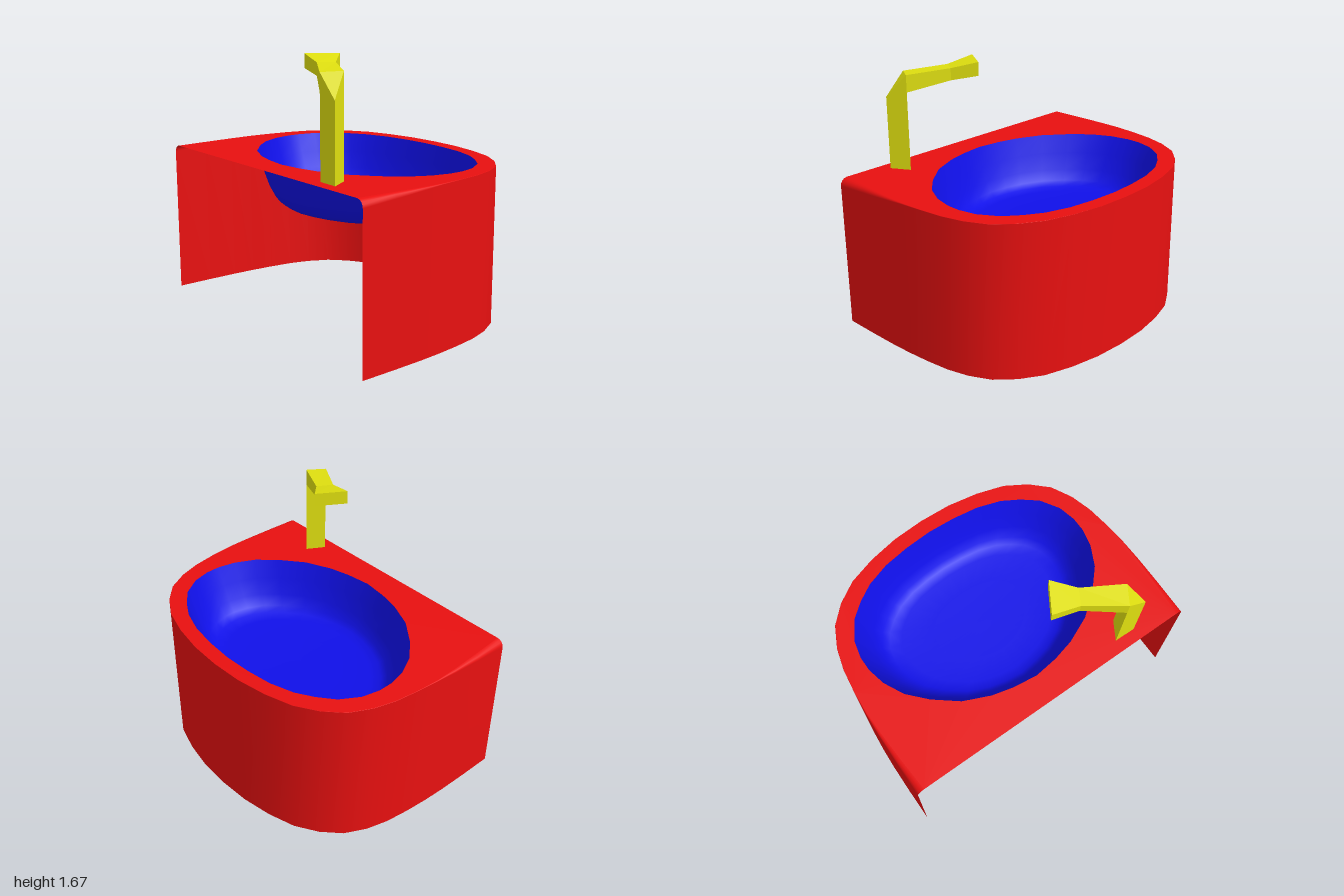
import * as THREE from 'three';

const red = new THREE.MeshStandardMaterial({ color: 0xe81010, side: THREE.DoubleSide });
const blue = new THREE.MeshStandardMaterial({ color: 0x1010e8, side: THREE.DoubleSide });
const yellow = new THREE.MeshStandardMaterial({ color: 0xe0e010 });

// Half plans as [x, z], z >= 0
const outlineHalf = [[-0.73, 1], [-0.5, 0.999], [-0.3, 0.995], [-0.15, 0.987], [0, 0.973], [0.16, 0.95],
  [0.3, 0.91], [0.435, 0.84], [0.54, 0.73], [0.625, 0.59], [0.68, 0.41], [0.715, 0.21], [0.725, 0]];
const rimHalf = [[-0.55, 0], [-0.53, 0.16], [-0.495, 0.3], [-0.42, 0.47], [-0.3, 0.62], [-0.18, 0.73],
  [-0.05, 0.795], [0.07, 0.822], [0.165, 0.822], [0.28, 0.795], [0.4, 0.72], [0.48, 0.62],
  [0.545, 0.51], [0.595, 0.355], [0.62, 0.18], [0.63, 0]];

// Mirror a half plan across z = 0 without repeating points on the axis
const mirror = (half) => [...half, ...half.filter((p) => p[1] > 0).reverse().map(([x, z]) => [x, -z])];

// Smooth skin through rings of equal length
function loft(rings, closed) {
  const n = rings[0].length, index = [];
  for (let k = 0; k < rings.length - 1; k++) {
    for (let i = 0; i < (closed ? n : n - 1); i++) {
      const j = (i + 1) % n, a = k * n + i, b = k * n + j;
      index.push(a, b, b + n, a, b + n, a + n);
    }
  }
  const g = new THREE.BufferGeometry();
  g.setAttribute('position', new THREE.Float32BufferAttribute(rings.flat(2), 3));
  g.setIndex(index);
  g.computeVertexNormals();
  return g;
}

// Flat shaded solid from convex polygons
function facets(polygons) {
  const pos = [];
  for (const p of polygons) {
    for (let i = 1; i < p.length - 1; i++) pos.push(...p[0], ...p[i], ...p[i + 1]);
  }
  const g = new THREE.BufferGeometry();
  g.setAttribute('position', new THREE.Float32BufferAttribute(pos, 3));
  g.computeVertexNormals();
  return g;
}

function createFaucet() {
  const at = ([x, z], y) => [x, y, z];
  // Triangular column with a sloped elbow
  const A = [-0.655, 0.67], B = [-0.538, 0.6], C = [-0.652, 0.532];
  const a1 = at(A, 1.47), bTop = at(B, 1.615), cTop = at(C, 1.61);
  const bLow = at(B, 1.505), cLow = at(C, 1.5);
  const polygons = [
    [at(A, 1), at(B, 1), bTop, a1],
    [at(C, 1), at(A, 1), a1, cTop],
    [at(B, 1), at(C, 1), cLow, bLow],
    [a1, bTop, cTop],
  ];
  // Four-sided arm: elbow, narrow neck, flared spout
  const section = (l, r, top, low) => [at(l, top), at(r, top), at(r, low), at(l, low)];
  const arm = [
    [cTop, bTop, bLow, cLow],
    section([-0.5, 0.3], [-0.405, 0.355], 1.637, 1.56),
    section([-0.46, 0.125], [-0.282, 0.235], 1.675, 1.588),
  ];
  for (let k = 0; k < 2; k++) {
    for (let i = 0; i < 4; i++) {
      const j = (i + 1) % 4;
      polygons.push([arm[k][i], arm[k][j], arm[k + 1][j], arm[k + 1][i]]);
    }
  }
  polygons.push(arm[2]);
  return new THREE.Mesh(facets(polygons), yellow);
}

export function createModel() {
  const model = new THREE.Group();
  model.name = 'washbasin';
  const add = (name, mesh) => { mesh.name = name; model.add(mesh); };
  const outline = mirror(outlineHalf), rim = mirror(rimHalf);

  // Top edge rounding that fades out away from the open back corners
  const radius = (x) => 0.002 + 0.045 * Math.max(0, (-0.1 - x) / 0.63);
  const edge = (t) => outline.map(([x, z]) => {
    const r = radius(x);
    return [x, 1 - r * (1 - Math.sin(t)), z - Math.sign(z) * r * (1 - Math.cos(t))];
  });
  const skirt = [outline.map(([x, z]) => [x, 0, z])];
  for (let k = 0; k <= 4; k++) skirt.push(edge(k * Math.PI / 8));
  add('skirt', new THREE.Mesh(loft(skirt, false), red));

  // Flat top with the bowl opening
  const shape = new THREE.Shape(edge(Math.PI / 2).map(([x, , z]) => new THREE.Vector2(x, -z)));
  shape.holes.push(new THREE.Path(rim.map(([x, z]) => new THREE.Vector2(x, -z))));
  const top = new THREE.Mesh(new THREE.ShapeGeometry(shape).rotateX(-Math.PI / 2).translate(0, 1, 0), red);
  add('countertop', top);

  // Bowl: rim plan shrinking down to a shallow floor, [scale, height]
  const profile = [[1, 1], [0.94, 0.88], [0.88, 0.77], [0.82, 0.7], [0.76, 0.67], [0.66, 0.658], [0.4, 0.652], [0.001, 0.65]];
  const bowl = profile.map(([s, y]) => rim.map(([x, z]) => [0.035 + (x - 0.035) * s, y, z * s]));
  add('bowl', new THREE.Mesh(loft(bowl, true), blue));

  add('faucet', createFaucet());
  return model;
}
